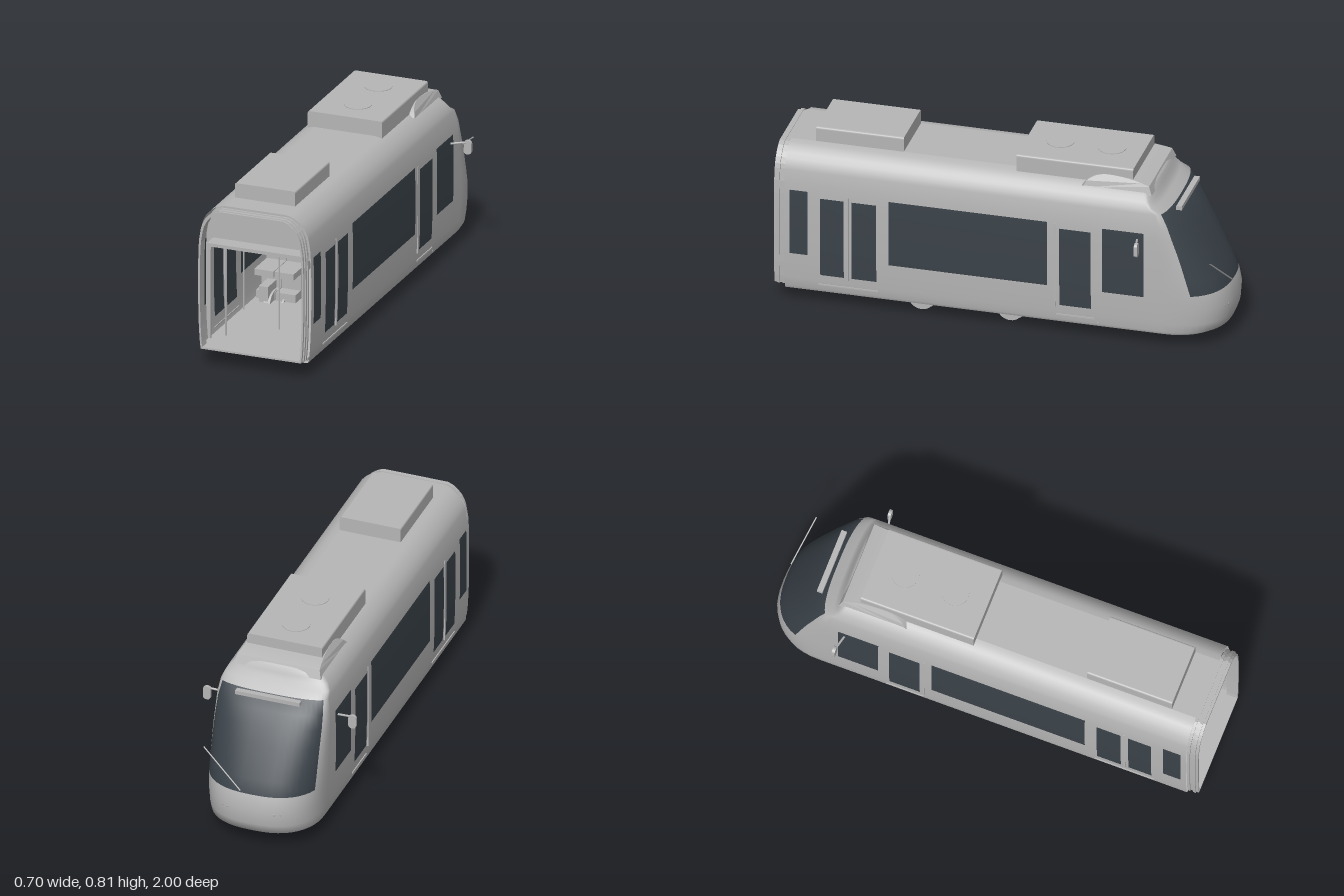
import * as THREE from 'three';

const paint = new THREE.MeshStandardMaterial({ color: 0xb6b6b6, side: THREE.DoubleSide });
paint.name = 'light grey paint';
const glass = new THREE.MeshStandardMaterial({ color: 0x3a4249, side: THREE.DoubleSide });
glass.name = 'dark tinted glass';

// Body levels: height, half width, z of the nose tip, depth of the nose curve
const levels = [
  [0.065, 0.243, -0.95, 0.23], [0.078, 0.249, -0.98, 0.25], [0.12, 0.253, -0.995, 0.26],
  [0.19, 0.257, -1, 0.26], [0.26, 0.259, -0.985, 0.245], [0.32, 0.26, -0.957, 0.225],
  [0.38, 0.26, -0.926, 0.2], [0.45, 0.26, -0.888, 0.17], [0.52, 0.259, -0.846, 0.14],
  [0.58, 0.256, -0.803, 0.1], [0.635, 0.247, -0.75, 0.055], [0.655, 0.241, -0.705, 0.04],
  [0.68, 0.228, -0.688, 0.04], [0.7, 0.21, -0.678, 0.04], [0.718, 0.188, -0.67, 0.04],
  [0.728, 0.165, -0.662, 0.04], [0.733, 0.14, -0.65, 0.04],
];
const REAR = 0.95, STEPS = 12;

function halfWidth(y) {
  const i = Math.max(1, levels.findIndex(l => l[0] >= y));
  const [a, b] = [levels[i - 1], levels[i]];
  return a[1] + (b[1] - a[1]) * (y - a[0]) / (b[0] - a[0]);
}

// Plan outline at one level: straight side, rounded nose, straight side
function planHalf([y, w, tip, depth]) {
  const pts = [new THREE.Vector3(w, y, REAR)];
  for (let k = 0; k <= STEPS; k++) {
    const t = k / STEPS * Math.PI / 2;
    pts.push(new THREE.Vector3(w * Math.max(0, Math.cos(t)) ** 0.8, y, tip + depth * (1 - Math.sin(t) ** 0.8)));
  }
  return pts;
}
const mirrored = pts => pts.map(p => new THREE.Vector3(-p.x, p.y, p.z));

// Surface through rows of points; isGlass picks the second material
function surface(rows, isGlass = () => false) {
  const n = rows[0].length, index = [[], []];
  for (let r = 0; r < rows.length - 1; r++) for (let c = 0; c < n - 1; c++) {
    const a = r * n + c, d = a + n;
    index[isGlass(r, c) ? 1 : 0].push(a, a + 1, d, a + 1, d + 1, d);
  }
  const g = new THREE.BufferGeometry().setFromPoints(rows.flat());
  g.setIndex(index.flat());
  g.addGroup(0, index[0].length, 0);
  g.addGroup(index[0].length, index[1].length, 1);
  g.computeVertexNormals();
  return g;
}

// Cross-section of the body, drawn inside its skin
function section(inset, bottom, top) {
  const right = [new THREE.Vector2(halfWidth(bottom) - inset, bottom)];
  levels.filter(l => l[0] > bottom && l[0] < top).forEach(l => right.push(new THREE.Vector2(l[1] - inset, l[0] - inset * 0.4)));
  return [...right, ...right.map(p => new THREE.Vector2(-p.x, p.y)).reverse()];
}

export function createModel() {
  const model = new THREE.Group();
  model.name = 'tram';
  const add = (name, geo, x = 0, y = 0, z = 0, mat = paint) => {
    const m = new THREE.Mesh(geo, mat);
    m.name = name;
    m.position.set(x, y, z);
    model.add(m);
    return m;
  };
  // Box given by its limits
  const box = (name, x0, x1, y0, y1, z0, z1, mat) => add(name,
    new THREE.BoxGeometry(x1 - x0, y1 - y0, z1 - z0), (x0 + x1) / 2, (y0 + y1) / 2, (z0 + z1) / 2, mat);
  const rod = (name, a, b, r) => {
    const path = new THREE.LineCurve3(new THREE.Vector3(...a), new THREE.Vector3(...b));
    return add(name, new THREE.TubeGeometry(path, 1, r, 8));
  };
  const disc = (name, r, len, x, y, z) => {
    const m = add(name, new THREE.CylinderGeometry(r, r, len, 28), x, y, z);
    m.rotation.z = Math.PI / 2;
    return m;
  };

  // Shell with the windscreen in the nose
  const last = 2 * STEPS + 2;
  const rows = levels.map(l => { const h = planHalf(l); return [...h, ...mirrored(h).reverse().slice(1)]; });
  add('bodyShell', surface(rows, (r, c) => r >= 4 && r < 10 && c >= 4 && c < last - 4), 0, 0, 0, [paint, glass]);
  const top = planHalf(levels[levels.length - 1]), base = planHalf(levels[0]);
  add('roof', surface([top, mirrored(top)]));
  add('underside', surface([mirrored(base), base]));

  // Side windows and door panes: z range, y range, on both faces of the wall
  const panes = [
    [0.845, 0.925, 0.24, 0.545], [0.685, 0.79, 0.15, 0.52], [0.54, 0.65, 0.15, 0.52],
    [-0.22, 0.485, 0.24, 0.545], [-0.415, -0.275, 0.15, 0.52], [-0.65, -0.465, 0.24, 0.545],
  ];
  for (const s of [1, -1]) for (const [z0, z1, y0, y1] of panes) for (const off of [0.002, -0.002]) {
    const ys = [y0, ...levels.map(l => l[0]).filter(y => y > y0 && y < y1), y1];
    const strip = ys.map(y => [z1, z0].map(z => new THREE.Vector3(s * (halfWidth(y) + off), y, z)));
    if (s < 0) strip.forEach(p => p.reverse());
    add('sideWindow', surface(strip), 0, 0, 0, glass);
  }

  // Gangway bellows at the open end
  for (let i = 0; i < 4; i++) {
    const ring = new THREE.Shape(section(i % 2 ? 0.016 : 0.01, 0.08, 0.73));
    ring.holes.push(new THREE.Path(section(0.024, 0.088, 0.725)));
    add('bellowsRib', new THREE.ExtrudeGeometry(ring, { depth: 0.0125, bevelEnabled: false }), 0, 0, REAR + i * 0.0125);
  }

  // Portal inside the open end
  const portal = new THREE.Shape(section(0.006, 0.08, 0.73));
  const arch = new THREE.Path();
  arch.moveTo(-0.232, 0.088).lineTo(-0.232, 0.49).quadraticCurveTo(-0.232, 0.54, -0.18, 0.54);
  arch.lineTo(0.18, 0.54).quadraticCurveTo(0.232, 0.54, 0.232, 0.49).lineTo(0.232, 0.088);
  portal.holes.push(arch);
  add('portal', new THREE.ExtrudeGeometry(portal, { depth: 0.01, bevelEnabled: false, curveSegments: 8 }), 0, 0, 0.88);
  box('portalLedge', -0.22, 0.22, 0.54, 0.555, 0.88, 0.96);

  // Interior
  box('floor', -0.242, 0.242, 0.075, 0.088, -0.6, 0.95);
  box('ceiling', -0.24, 0.24, 0.54, 0.552, -0.45, 0.88);
  box('bulkhead', -0.25, 0.25, 0.08, 0.55, -0.45, -0.44);
  box('bulkheadWindow', -0.177, -0.066, 0.365, 0.44, -0.439, -0.432, glass);
  box('displayFrame', -0.067, 0.067, 0.475, 0.525, -0.439, -0.42);
  box('display', -0.061, 0.061, 0.48, 0.52, -0.42, -0.416, glass);
  rod('centrePole', [0, 0.085, 0.68], [0, 0.54, 0.68], 0.004);
  for (const s of [1, -1]) {
    rod('grabPole', [s * 0.185, 0.085, 0.83], [s * 0.185, 0.54, 0.83], 0.004);
    rod('doorPole', [s * 0.23, 0.085, 0.52], [s * 0.23, 0.53, 0.52], 0.004);
    for (const z of [-0.3, 0.25]) for (const x of [0.097, 0.19]) {
      const seat = (name, y0, y1, z0, z1) => box(name, s * x - 0.045, s * x + 0.045, y0, y1, z0, z1);
      seat('seatBase', 0.085, 0.125, z, z + 0.12);
      seat('seatCushion', 0.2, 0.228, z, z + 0.14);
      seat('seatLeg', 0.12, 0.2, z + 0.02, z + 0.06);
      seat('seatBack', 0.2, 0.365, z - 0.02, z);
    }
    box('wheelBox', s * 0.185 - 0.021, s * 0.185 + 0.021, 0.085, 0.16, 0.31, 0.41);
  }

  // Roof equipment
  const slab = (name, w, z0, z1, y0, y1) => {
    const r = 0.01, h = y1 - y0 - r, p = new THREE.Shape();
    p.moveTo(-w, 0).lineTo(w, 0).lineTo(w, h).quadraticCurveTo(w, h + r, w - r, h + r);
    p.lineTo(r - w, h + r).quadraticCurveTo(-w, h + r, -w, h);
    add(name, new THREE.ExtrudeGeometry(p, { depth: z1 - z0, bevelEnabled: false }), 0, y0, z0);
  };
  slab('rearRoofUnit', 0.14, 0.45, 0.84, 0.725, 0.8);
  slab('airConditioner', 0.172, -0.58, -0.06, 0.725, 0.803);
  for (const z of [-0.44, -0.21]) add('roofFan', new THREE.CylinderGeometry(0.06, 0.06, 0.004, 32), 0, 0.804, z);

  // Fairing around the front roof unit, narrowing upwards
  const side = new THREE.Shape();
  side.moveTo(0.36, 0.715).quadraticCurveTo(0.4, 0.765, 0.47, 0.765);
  side.quadraticCurveTo(0.58, 0.762, 0.655, 0.738).lineTo(0.67, 0.7).lineTo(0.36, 0.7);
  const fairing = new THREE.ExtrudeGeometry(side, { depth: 0.4, bevelEnabled: false, curveSegments: 10 });
  fairing.translate(0, 0, -0.2).rotateY(Math.PI / 2);
  const fp = fairing.attributes.position;
  for (let i = 0; i < fp.count; i++) {
    const y = fp.getY(i);
    fp.setX(i, fp.getX(i) * (1 - Math.max(0, y - 0.72) * 3));
  }
  fairing.computeVertexNormals();
  add('roofFairing', fairing);

  // Nose details
  box('lightBar', -0.148, 0.148, 0.622, 0.64, -0.79, -0.765);
  rod('wiper', [0.05, 0.27, -0.985], [0.235, 0.425, -0.94], 0.003);
  for (const s of [1, -1]) {
    for (const [x, z] of [[0.105, -0.978], [0.127, -0.969], [0.149, -0.956]])
      add('headlight', new THREE.SphereGeometry(0.011, 12, 8), s * x, 0.18, z);

    // Mirrors
    rod('mirrorArm', [s * 0.255, 0.512, -0.62], [s * 0.325, 0.524, -0.635], 0.005);
    const head = new THREE.Shape();
    head.absellipse(0, 0.018, 0.0175, 0.014, 0, Math.PI).absellipse(0, -0.018, 0.0175, 0.014, Math.PI, 2 * Math.PI);
    add('mirrorHead', new THREE.ExtrudeGeometry(head, { depth: 0.014, bevelEnabled: false }), s * 0.334, 0.502, -0.645);

    // Door rails and sills
    for (const z of [-0.255, 0.667])
      box('doorRail', s * 0.258 - 0.004, s * 0.258 + 0.004, 0.14, 0.54, z - 0.003, z + 0.003);
    for (const [z0, z1] of [[-0.43, -0.26], [0.53, 0.8]])
      box('doorSill', s * 0.252 - 0.004, s * 0.252 + 0.004, 0.1, 0.106, z0, z1);
  }

  // Running gear
  for (const z of [0.36, -0.035]) {
    rod('axle', [-0.16, 0.065, z], [0.16, 0.065, z], 0.01);
    for (const s of [1, -1]) {
      disc('wheel', 0.058, 0.03, s * 0.168, 0.065, z);
      disc('wheelFlange', 0.065, 0.007, s * 0.154, 0.065, z);
      disc('brakeDisc', 0.036, 0.01, s * 0.105, 0.065, z);
      box('axleBox', s * 0.19 - 0.012, s * 0.19 + 0.012, 0.052, 0.09, z - 0.025, z + 0.025);
    }
  }
  for (const z of [0.22, 0.08]) disc('motor', 0.022, 0.158, -0.014, 0.06, z);
  return model;
}
